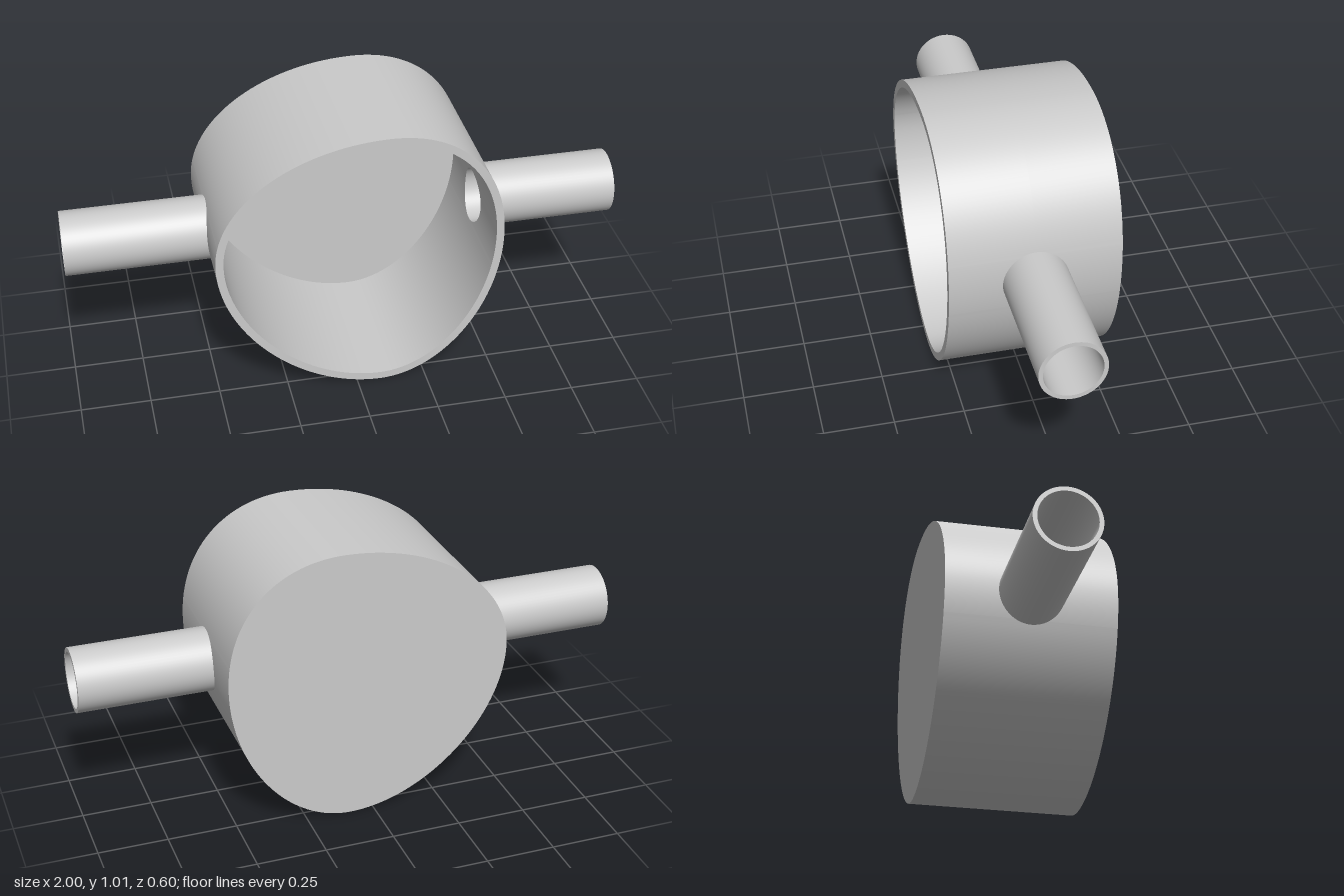
import * as THREE from 'three';
import { mergeVertices } from 'three/addons/utils/BufferGeometryUtils.js';

const WALL = 0.028, DEPTH = 0.3, PIPE_Y = 0.553, PIPE_R = 0.115, BORE = 0.1;
const V = (x, y) => new THREE.Vector2(x, y);

// Closed, lopsided outline: one Bezier between each pair of extreme points (right, top, left, bottom)
const corners = [V(0.525, 0.575), V(0.11, 1.015), V(-0.5, 0.58), V(0.087, 0)];
const bulge = [0.6, 0.55, 0.5, 0.53];
const arcs = corners.map((a, i) => {
  const b = corners[(i + 1) % 4], k = bulge[i];
  const meet = i % 2 ? V(b.x, a.y) : V(a.x, b.y);
  return new THREE.CubicBezierCurve(a, a.clone().lerp(meet, k), b.clone().lerp(meet, k), b);
});

// Point on the outline, moved inwards by inset; t runs 0..4 counterclockwise
function outline(t, inset) {
  const u = ((t % 4) + 4) % 4, arc = arcs[Math.floor(u)], f = u - Math.floor(u);
  const p = arc.getPoint(f), d = arc.getTangent(f);
  return V(p.x - d.y * inset, p.y + d.x * inset);
}

// Parameter where the right (side 1) or left (side -1) flank reaches height y
function findT(side, y, inset) {
  let [lo, hi] = side > 0 ? [-0.7, 0.7] : [2.7, 1.3];
  for (let i = 0; i < 40; i++) {
    const mid = (lo + hi) / 2;
    if (outline(mid, inset).y < y) lo = mid; else hi = mid;
  }
  return (lo + hi) / 2;
}

// Outline samples with the half width of the pipe hole at each one
function samples(inset) {
  const list = [], n = 32, gap = 64;
  const hole = side => {
    const out = [];
    for (let i = 0; i <= n; i++) {
      const a = side * (i / n - 0.5) * Math.PI;
      const t = findT(side, PIPE_Y + BORE * Math.sin(a), inset);
      out.push({ t, h: i % n ? BORE * Math.cos(a) : 0 });
    }
    return out;
  };
  const right = hole(1), left = hole(-1);
  const fill = (a, b) => {
    for (let i = 1; i < gap; i++) list.push({ t: a + (b - a) * i / gap, h: 0 });
  };
  list.push(...right);
  fill(right[n].t, left[0].t);
  list.push(...left);
  fill(left[n].t, right[0].t + 4);
  list.push(right[0]);
  return list.map(s => ({ p: outline(s.t, inset), h: s.h }));
}

// Smooth surface from rows of matching points
function loft(strips, flip) {
  const pos = [], idx = [];
  for (const rows of strips) {
    const base = pos.length / 3, w = rows[0].length;
    rows.forEach(r => r.forEach(p => pos.push(...p)));
    for (let i = 0; i < rows.length - 1; i++) for (let j = 0; j < w - 1; j++) {
      const a = base + i * w + j, b = a + 1, c = a + w, d = c + 1;
      if (flip) idx.push(a, b, c, b, d, c);
      else idx.push(a, c, b, b, c, d);
    }
  }
  let g = new THREE.BufferGeometry();
  g.setAttribute('position', new THREE.Float32BufferAttribute(pos, 3));
  g.setIndex(idx);
  g = mergeVertices(g, 1e-5);
  g.computeVertexNormals();
  return g;
}

export function createModel() {
  const model = new THREE.Group();
  const metal = new THREE.MeshStandardMaterial({ color: 0xcbcbcb });
  metal.name = 'grey metal';
  const add = (name, geometry, parent = model) => {
    const m = new THREE.Mesh(geometry, metal);
    m.name = name;
    parent.add(m);
    return m;
  };

  // Chamber walls, each pierced by the two pipe holes
  const outer = samples(0), inner = samples(WALL);
  const wall = (ring, back, flip) => loft([
    ring.map(({ p, h }) => [[p.x, p.y, back], [p.x, p.y, -h]]),
    ring.map(({ p, h }) => [[p.x, p.y, h], [p.x, p.y, DEPTH]]),
  ], flip);
  add('outerWall', wall(outer, -DEPTH, false));
  add('innerWall', wall(inner, WALL - DEPTH, true));

  // Rim, floor and back plate
  const points = ring => ring.slice(0, -1).map(s => s.p);
  const rim = new THREE.Shape(points(outer));
  rim.holes.push(new THREE.Path(points(inner)));
  add('rim', new THREE.ShapeGeometry(rim)).position.z = DEPTH;
  add('floor', new THREE.ShapeGeometry(new THREE.Shape(points(inner)))).position.z = WALL - DEPTH;
  // The back plate is drawn mirrored, then turned round to face backwards
  const mirrored = points(outer).map(p => V(-p.x, p.y));
  const back = new THREE.ShapeGeometry(new THREE.Shape(mirrored)).rotateY(Math.PI);
  add('backPlate', back).position.z = -DEPTH;

  // Side pipes, trimmed to the curved wall
  for (const side of [1, -1]) {
    const pipe = new THREE.Group();
    pipe.name = side > 0 ? 'leftPipe' : 'rightPipe';
    model.add(pipe);
    const skin = (r0, r1, inset) => Array.from({ length: 65 }, (_, i) => {
      const a = (i % 64) / 64 * Math.PI * 2, c = Math.cos(a), s = Math.sin(a);
      const y = PIPE_Y + r0 * s;
      const x = inset === null ? side : outline(findT(side, y, inset), inset).x;
      return [[x, y, r0 * c], [side, PIPE_Y + r1 * s, r1 * c]];
    });
    add('pipeOutside', loft([skin(PIPE_R, PIPE_R, 0)], side > 0), pipe);
    add('pipeBore', loft([skin(BORE, BORE, WALL)], side < 0), pipe);
    add('pipeEnd', loft([skin(PIPE_R, BORE, null)], side > 0), pipe);
  }
  return model;
}
